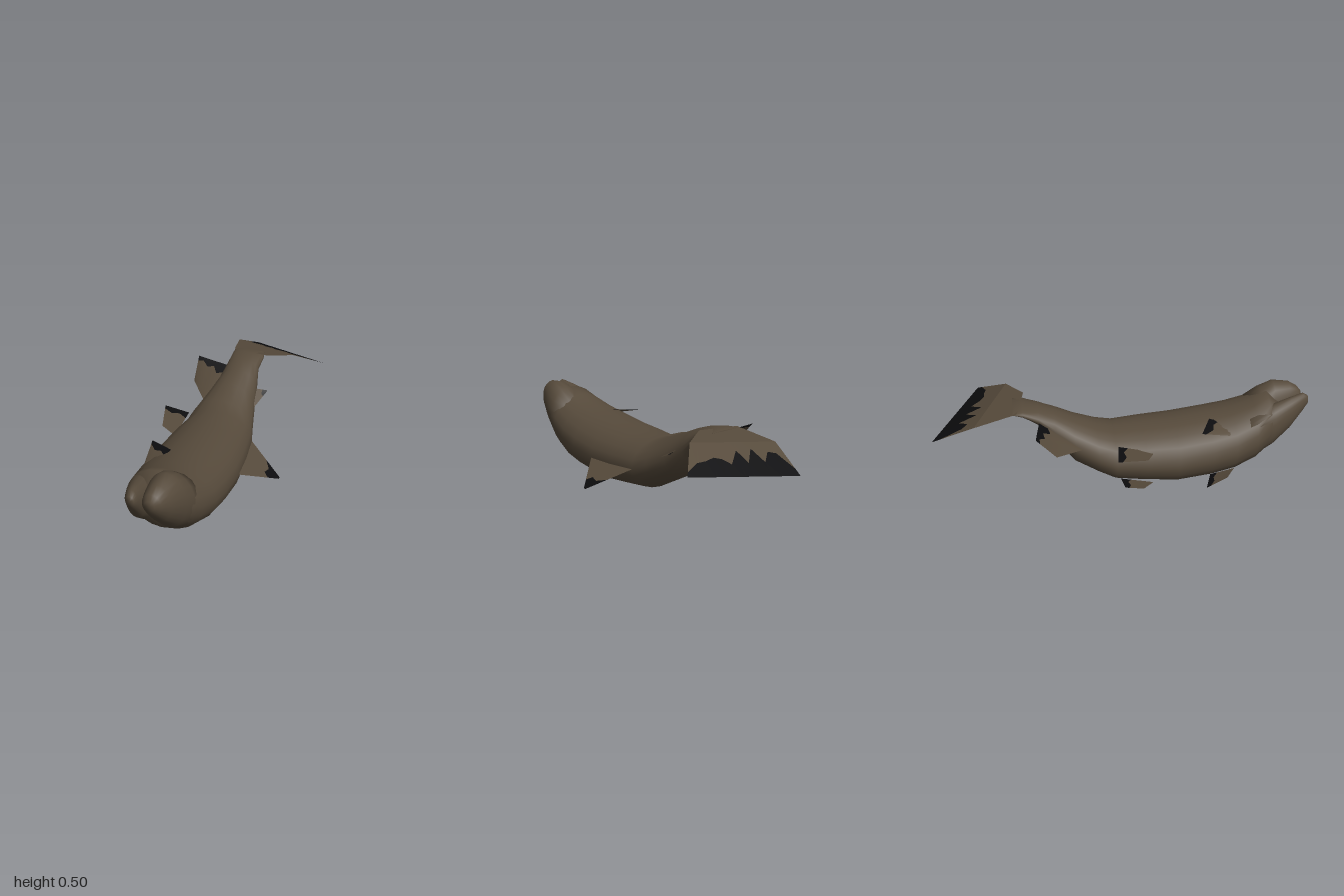
import * as THREE from 'three';

const skin = new THREE.MeshStandardMaterial({ color: 0x564a3b, side: THREE.DoubleSide });
skin.name = 'brown skin';
const dark = new THREE.MeshStandardMaterial({ color: 0x0c0c0e, side: THREE.DoubleSide });
dark.name = 'black fin edge';

const mix = (a, b, t) => a.map((v, i) => v + (b[i] - v) * t);

function build(name, pos, index, material) {
  const g = new THREE.BufferGeometry();
  g.setAttribute('position', new THREE.Float32BufferAttribute(pos, 3));
  g.setIndex(index);
  g.computeVertexNormals();
  const mesh = new THREE.Mesh(g, material);
  mesh.name = name;
  return mesh;
}

// Closed loft through oval stations [z, xMin, xMax, yMin, yMax], ordered along +z
function loft(name, stations, sides = 20) {
  const pos = [], index = [];
  for (const [z, x0, x1, y0, y1] of stations) {
    for (let j = 0; j < sides; j++) {
      const t = (j / sides) * Math.PI * 2;
      pos.push((x0 + x1) / 2 + Math.cos(t) * (x1 - x0) / 2, (y0 + y1) / 2 + Math.sin(t) * (y1 - y0) / 2, z);
    }
  }
  const last = stations.length - 1;
  for (let i = 0; i < last; i++) {
    for (let j = 0; j < sides; j++) {
      const k = (j + 1) % sides, a = i * sides, b = a + sides;
      index.push(a + j, a + k, b + j, a + k, b + k, b + j);
    }
  }
  // end caps
  for (const end of [0, last]) {
    const [z, x0, x1, y0, y1] = stations[end];
    const c = pos.length / 3;
    pos.push((x0 + x1) / 2, (y0 + y1) / 2, z);
    for (let j = 0; j < sides; j++) {
      const p = end * sides + j, q = end * sides + (j + 1) % sides;
      index.push(c, ...(end ? [p, q] : [q, p]));
    }
  }
  return build(name, pos, index, skin);
}

// Strip of triangles between two rows of points
function strip(name, rowA, rowB, material) {
  const n = rowA.length, index = [];
  for (let i = 0; i < n - 1; i++) index.push(i, i + 1, n + i, i + 1, n + i + 1, n + i);
  return build(name, [...rowA, ...rowB].flat(), index, material);
}

// Thin fin: rows run from base to trailing edge, ragged dark band from fraction f outward
function fin(name, rows, fractions) {
  const group = new THREE.Group();
  group.name = name;
  const n = fractions.length;
  const full = rows.map(([a, b]) => fractions.map((_, i) => mix(a, b, i / (n - 1))));
  const edge = full.pop(), inner = full[full.length - 1];
  const border = fractions.map((f, i) => mix(inner[i], edge[i], f));
  full.push(border);
  for (let r = 0; r < full.length - 1; r++) group.add(strip(name + 'Web', full[r], full[r + 1], skin));
  group.add(strip(name + 'DarkEdge', border, edge, dark));
  return group;
}

export function createModel() {
  const fish = new THREE.Group();
  fish.name = 'fish';

  // Body lying on its flank, back towards +x, both ends curling up
  fish.add(loft('body', [
    [-0.58, -0.13, 0.05, 0.488, 0.502],
    [-0.53, -0.13, 0.06, 0.46, 0.506],
    [-0.45, -0.135, 0.055, 0.40, 0.49],
    [-0.37, -0.155, 0.075, 0.29, 0.46],
    [-0.27, -0.195, 0.095, 0.17, 0.415],
    [-0.15, -0.235, 0.125, 0.105, 0.365],
    [-0.06, -0.25, 0.15, 0.055, 0.34],
    [0.10, -0.27, 0.175, 0.035, 0.348],
    [0.27, -0.277, 0.19, 0.015, 0.355],
    [0.45, -0.27, 0.193, 0.03, 0.375],
    [0.58, -0.253, 0.185, 0.05, 0.395],
    [0.70, -0.22, 0.165, 0.09, 0.43],
    [0.78, -0.185, 0.148, 0.15, 0.465],
    [0.84, -0.12, 0.10, 0.22, 0.42],
  ]));

  // Jaws with the mouth slit between them
  fish.add(loft('upperJaw', [
    [0.68, -0.10, 0.15, 0.12, 0.41],
    [0.76, -0.085, 0.15, 0.15, 0.465],
    [0.83, -0.06, 0.137, 0.20, 0.495],
    [0.92, -0.035, 0.105, 0.29, 0.485],
    [0.965, -0.02, 0.075, 0.35, 0.46],
    [0.985, 0.0, 0.05, 0.385, 0.435],
  ]));
  fish.add(loft('lowerJaw', [
    [0.66, -0.22, -0.02, 0.12, 0.39],
    [0.80, -0.178, -0.03, 0.19, 0.43],
    [0.90, -0.135, -0.03, 0.27, 0.455],
    [0.97, -0.10, -0.033, 0.36, 0.468],
    [0.997, -0.082, -0.042, 0.40, 0.45],
  ]));

  // Tail fan, twisting down to its trailing edge
  fish.add(fin('tailFin', [
    [[-0.13, 0.5, -0.56], [0.08, 0.505, -0.52]],
    [[-0.175, 0.465, -0.78], [0.215, 0.49, -0.61]],
    [[-0.12, 0.365, -1], [0.36, 0.395, -0.77]],
  ], [0.8, 0.35, 0.3, 0.6, 0.2, 0.62, 0.25, 0.65, 0.5, 0.45, 0.55, 0.6, 0.85]));

  // Fins along the back
  fish.add(fin('dorsalFin', [
    [[0.185, 0.185, 0.27], [0.14, 0.2, -0.07]],
    [[0.355, 0.088, 0.09], [0.352, 0.09, 0.075]],
  ], [0.72, 0.6, 0.68, 0.55]));
  fish.add(fin('adiposeFin', [
    [[0.095, 0.30, -0.24], [0.06, 0.37, -0.35]],
    [[0.135, 0.355, -0.37], [0.13, 0.36, -0.37]],
  ], [0.7, 0.6, 0.7]));

  // Fins along the belly
  fish.add(fin('analFin', [
    [[-0.315, 0.345, -0.375], [-0.2, 0.30, -0.235]],
    [[-0.322, 0.46, -0.475], [-0.13, 0.44, -0.45]],
  ], [0.8, 0.88, 0.75, 0.85, 0.7, 0.8]));
  fish.add(fin('upperPelvicFin', [
    [[-0.315, 0.282, 0.09], [-0.22, 0.265, 0.14]],
    [[-0.365, 0.32, -0.07], [-0.215, 0.312, -0.05]],
  ], [0.85, 0.75, 0.85, 0.75]));
  fish.add(fin('lowerPelvicFin', [
    [[-0.315, 0.105, 0.07], [-0.205, 0.06, 0.14]],
    [[-0.33, 0.133, -0.03], [-0.235, 0.123, -0.04]],
  ], [0.8, 0.7, 0.8, 0.7]));
  fish.add(fin('upperPectoralFin', [
    [[-0.21, 0.325, 0.54], [-0.15, 0.34, 0.63]],
    [[-0.235, 0.366, 0.385], [-0.105, 0.374, 0.45]],
  ], [0.85, 0.7, 0.8, 0.7]));
  fish.add(fin('lowerPectoralFin', [
    [[-0.2, 0.045, 0.55], [-0.11, 0.04, 0.61]],
    [[-0.23, 0.01, 0.43], [-0.098, 0.002, 0.48]],
  ], [0.8, 0.7, 0.8, 0.7]));

  return fish;
}
